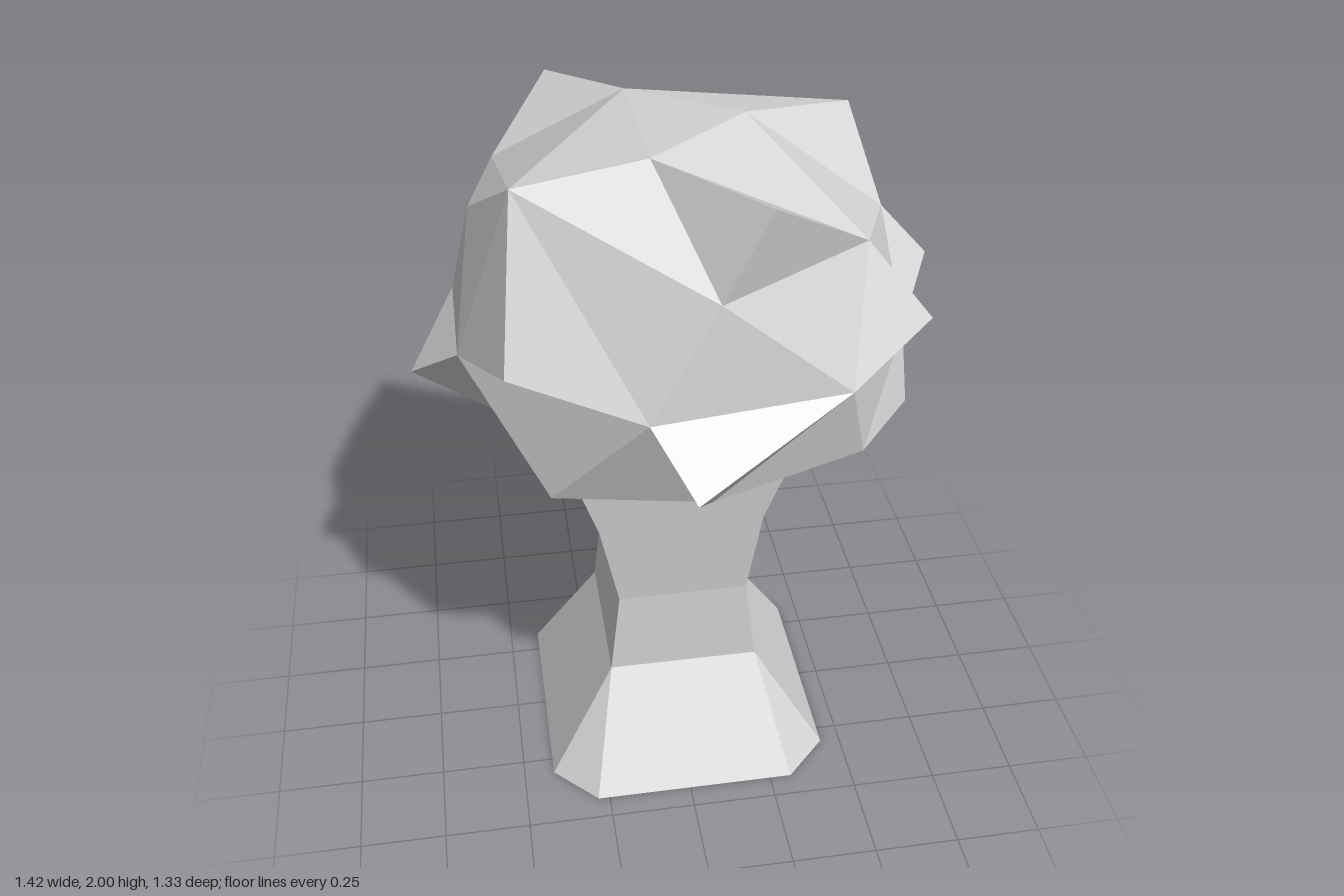
import * as THREE from 'three';
import { ConvexGeometry } from 'three/addons/geometries/ConvexGeometry.js';

const grey = new THREE.MeshStandardMaterial({ color: 0xd4d4d4, flatShading: true });
grey.name = 'pale grey';

// Trunk sections: y, x min/max, z min/max, and corner cut at the foot
const SECTIONS = [
  [0, -0.41, 0.44, -0.45, 0.43, 0.125],
  [0.325, -0.21, 0.235, -0.245, 0.205, 0],
  [0.6, -0.18, 0.2, -0.245, 0.205, 0],
  [0.88, -0.235, 0.235, -0.27, 0.235, 0],
  [1.13, -0.315, 0.315, -0.31, 0.265, 0],
];

function ring([y, x0, x1, z0, z1, c]) {
  return [
    [x1, z1 - c], [x1 - c, z1], [x0 + c, z1], [x0, z1 - c],
    [x0, z0 + c], [x0 + c, z0], [x1 - c, z0], [x1, z0 + c],
  ].map(([x, z]) => new THREE.Vector3(x, y, z));
}

function trunkGeometry() {
  const rings = SECTIONS.map(ring);
  const points = [];
  const tri = (a, b, c) => {
    const area = b.clone().sub(a).cross(c.clone().sub(a)).length();
    if (area > 1e-6) points.push(a, b, c);
  };
  for (let j = 0; j < rings.length - 1; j++) {
    for (let i = 0; i < 8; i++) {
      const k = (i + 1) % 8;
      const low = rings[j], high = rings[j + 1];
      tri(low[k], low[i], high[i]);
      tri(low[k], high[i], high[k]);
    }
  }
  for (let i = 1; i < 7; i++) tri(rings[0][0], rings[0][i], rings[0][i + 1]);
  const geometry = new THREE.BufferGeometry().setFromPoints(points);
  geometry.computeVertexNormals();
  return geometry;
}

// Corners of the crown's faceted core, named by where they sit
const CORE = {
  topBack: [-0.08, 1.98, -0.27], topRight: [0.2, 2, -0.02], topFront: [-0.08, 2, 0.22],
  highLeft: [-0.52, 1.79, -0.02], highFrontLeft: [-0.42, 1.94, 0.21], highFront: [0.05, 1.74, 0.49],
  highFrontRight: [0.46, 1.77, 0.28], highRight: [0.58, 1.71, -0.02], highBackRight: [0.46, 1.76, -0.32],
  highBack: [0, 1.76, -0.52], highBackLeft: [-0.44, 1.78, -0.34],
  midLeftFront: [-0.58, 1.46, 0.16], midFrontLeft: [-0.13, 1.44, 0.53], midFrontRight: [0.4, 1.44, 0.46],
  midRightFront: [0.61, 1.44, 0.17], midRightBack: [0.61, 1.44, -0.21], midBackRight: [0.4, 1.44, -0.5],
  midBackLeft: [-0.13, 1.44, -0.52], midLeftBack: [-0.58, 1.46, -0.2],
  lowFront: [0.04, 1.15, 0.48], lowFrontRight: [0.47, 1.18, 0.36], lowRight: [0.55, 1.13, -0.01],
  lowBackRight: [0.45, 1.18, -0.34], lowBack: [0, 1.15, -0.52], lowBackLeft: [-0.4, 1.12, -0.34],
  lowLeft: [-0.49, 1.17, 0], lowFrontLeft: [-0.37, 1.12, 0.36],
  baseA: [0.28, 1.09, 0.26], baseB: [0.28, 1.09, -0.3], baseC: [-0.28, 1.09, -0.28], baseD: [-0.28, 1.09, 0.26],
};

// Pointed tufts: the tips, then the core corners each one grows from
const TUFTS = [
  [[[0.17, 1.98, 0.49]], 'topFront', 'highFront', 'highFrontRight'],
  [[[0.51, 1.95, -0.17]], 'topRight', 'highRight', 'highBackRight', 'topBack'],
  [[[-0.27, 1.94, -0.54]], 'topBack', 'highBack', 'highBackLeft'],
  [[[-0.47, 1.53, 0.41]], 'highFrontLeft', 'midLeftFront', 'midFrontLeft'],
  [[[0.6, 1.61, 0.41]], 'highFrontRight', 'midFrontRight', 'midRightFront'],
  [[[0.71, 1.57, 0]], 'highRight', 'midRightFront', 'midRightBack'],
  [[[0.57, 1.36, -0.39]], 'midRightBack', 'midBackRight', 'lowBackRight'],
  [[[0.1, 1.56, -0.665], [0.4, 1.46, -0.585]], 'highBack', 'midBackRight', 'midBackLeft'],
  [[[-0.46, 1.5, -0.46]], 'highBackLeft', 'midBackLeft', 'midLeftBack'],
  [[[-0.71, 1.32, 0]], 'midLeftFront', 'midLeftBack', 'lowLeft'],
  [[[-0.03, 1.285, 0.665]], 'midFrontLeft', 'midFrontRight', 'lowFront'],
  [[[0.63, 1.22, 0.2]], 'midRightFront', 'lowFrontRight', 'lowRight'],
  [[[-0.2, 1.22, -0.55]], 'midBackLeft', 'lowBack', 'lowBackLeft'],
];

function hull(name, points) {
  const mesh = new THREE.Mesh(new ConvexGeometry(points.map((p) => new THREE.Vector3(...p))), grey);
  mesh.name = name;
  return mesh;
}

export function createModel() {
  const tree = new THREE.Group();
  tree.name = 'tree';
  const trunk = new THREE.Mesh(trunkGeometry(), grey);
  trunk.name = 'trunk';

  const crown = new THREE.Group();
  crown.name = 'crown';
  crown.add(hull('crownCore', Object.values(CORE)));
  TUFTS.forEach(([tips, ...roots], i) => {
    crown.add(hull(`tuft${i + 1}`, [...tips, ...roots.map((r) => CORE[r])]));
  });

  tree.add(trunk, crown);
  return tree;
}
